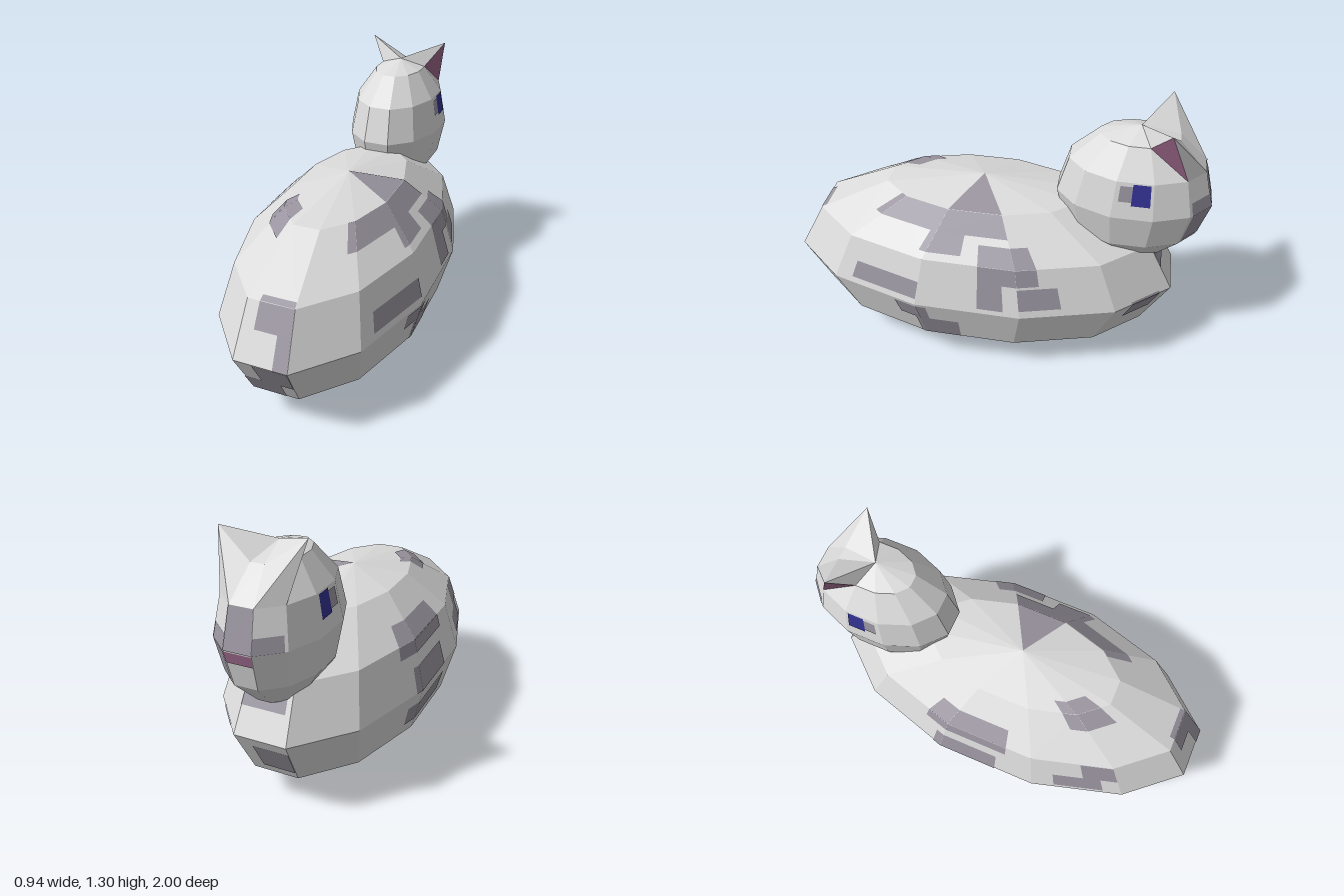
import * as THREE from 'three';

const SIDES = 12;
const RING_SCALE = [0.5, 0.866, 1, 0.866, 0.5, 0];
const RING_Y = [-0.872, -0.5, 0, 0.5, 0.872, 1];

const mat = (name, color) => {
  const m = new THREE.MeshStandardMaterial({ color });
  m.name = name;
  return m;
};

// Faceted egg: u counts the sides (0..1 is the +z panel, growing towards +x), v counts the rings.
const makeEgg = (center, radius, moved = {}) => (u, v) => {
  const k = ((u % SIDES) + SIDES) % SIDES;
  if (moved[k + ',' + v]) return moved[k + ',' + v].clone();
  const a = (k - 0.5) * Math.PI * 2 / SIDES;
  return new THREE.Vector3(
    center.x + radius.x * RING_SCALE[v] * Math.sin(a),
    center.y + radius.y * RING_Y[v],
    center.z + radius.z * RING_SCALE[v] * Math.cos(a));
};

// Unshared corners keep every facet flat.
function trianglesMesh(name, tris, material) {
  const geo = new THREE.BufferGeometry().setFromPoints(tris.flat());
  geo.computeVertexNormals();
  const mesh = new THREE.Mesh(geo, material);
  mesh.name = name;
  return mesh;
}

// Closed skin; triangles for which isInner(k, j, t) holds go to a second list.
function eggSkin(egg, isInner = () => false) {
  const outer = [], inner = [];
  const bottom = egg(0, 0);
  for (let k = 0; k < SIDES; k++) {
    for (let j = 0; j < 5; j++) {
      const a = egg(k, j), b = egg(k + 1, j), c = egg(k + 1, j + 1), d = egg(k, j + 1);
      const tris = j === 4 ? [[a, b, c]]
        : k < 6 ? [[a, b, d], [b, c, d]] : [[a, b, c], [a, c, d]];
      tris.forEach((t, i) => (isInner(k, j, i) ? inner : outer).push(t));
    }
    if (k > 0 && k < SIDES - 1) outer.push([bottom, egg(k + 1, 0), egg(k, 0)]);
  }
  return { outer, inner };
}

// Thin patches [u0, u1, v0, v1] lying on the facets, split where they cross an edge.
function patches(name, egg, rects, material) {
  const tris = [];
  for (const [u0, u1, v0, v1] of rects) {
    for (let k = Math.floor(u0); k < u1; k++) {
      for (let j = Math.floor(v0); j < v1; j++) {
        const a = egg(k, j), b = egg(k + 1, j), c = egg(k + 1, j + 1), d = egg(k, j + 1);
        const n = b.clone().sub(a).cross(d.clone().sub(a)).normalize().multiplyScalar(0.003);
        const at = (u, v) => a.clone().lerp(b, u).lerp(d.clone().lerp(c, u), v).add(n);
        const s = Math.max(u0 - k, 0), e = Math.min(u1 - k, 1);
        const f = Math.max(v0 - j, 0), g = Math.min(v1 - j, 1);
        tris.push([at(s, f), at(e, f), at(e, g)]);
        if (!(j === 4 && g === 1)) tris.push([at(s, f), at(e, g), at(s, g)]);
      }
    }
  }
  return trianglesMesh(name, tris, material);
}

export function createModel() {
  const fur = mat('light grey fur', 0xdcdcdc);
  const spot = mat('grey purple spots', 0x99949f);
  const pink = mat('pink', 0xa06a8e);
  const blue = mat('dark blue', 0x323291);
  const V = (x, y, z) => new THREE.Vector3(x, y, z);

  const model = new THREE.Group();
  model.name = 'loafingCat';

  // Body
  const body = new THREE.Group();
  body.name = 'body';
  const bodyEgg = makeEgg(V(0, 0.41, 0.06), V(0.487, 0.47, 0.973));
  body.add(trianglesMesh('bodyFur', eggSkin(bodyEgg).outer, fur));

  // Coat markings
  body.add(patches('leftFlankSpots', bodyEgg, [
    [2.2, 3, 2.13, 2.51], [3, 4, 4, 5], [1.8, 4, 3.55, 4], [2.9, 3.4, 3.15, 3.55],
    [3.6, 3.85, 2.1, 2.65], [3.6, 4.25, 2.65, 3.4], [4, 4.45, 2.15, 2.6],
    [2.75, 3.1, 1.55, 1.95], [2.95, 3.4, 1.02, 1.55], [5.3, 5.8, 1.6, 2.05],
  ], spot));
  body.add(patches('rightFlankSpots', bodyEgg, [
    [-1.75, -1.2, 2.1, 2.5], [-1.4, -1, 2.5, 3], [-1.75, -1.1, 1.4, 1.9],
    [-1.3, -0.3, 3.7, 4.2], [-3.3, -2.3, 2.75, 3.4], [-3.1, -2.4, 2, 2.5], [-3.2, -2.3, 1.25, 1.7],
  ], spot));
  body.add(patches('rumpAndChestSpots', bodyEgg, [
    [0.27, 1, 2.55, 3.08], [0.73, 1, 2, 2.55], [0.35, 1, 1.45, 2], [0, 0.75, 1.02, 1.45],
    [0.1, 0.5, 0.63, 0.92], [6, 6.9, 2.5, 3], [6.3, 7, 1.2, 1.8],
  ], spot));
  body.add(patches('undersideSpots', bodyEgg, [-1, 1, 5].map((u) => [u + 0.1, u + 0.9, 0, 0.35]), spot));
  model.add(body);

  // Head, with two corners of the upper ring pulled out as ear tips
  const head = new THREE.Group();
  head.name = 'head';
  const headEgg = makeEgg(V(0, 0.88, -0.647), V(0.243, 0.35, 0.365), {
    '5,4': V(0.2, 1.3, -0.776),
    '8,4': V(-0.2, 1.3, -0.776),
  });
  const skin = eggSkin(headEgg, (k, j, t) => j === 3 && t === (k === 4 ? 1 : 0) && (k === 4 || k === 8));
  // On the mirrored side the inner-ear facet is the one holding both the tip and the upper corner.
  const rightInner = eggSkin(headEgg, (k, j, t) => j === 3 && k === 8 && t === 1);
  head.add(trianglesMesh('headFurAndEars', [
    ...skin.outer.filter((t) => !rightInner.inner.some((r) => r.every((p, i) => p.equals(t[i])))),
    ...skin.inner.slice(1),
  ], fur));
  head.add(trianglesMesh('innerEars', [skin.inner[0], ...rightInner.inner], pink));

  // Face
  const mirror = ([a, b, c, d]) => [1 - b, 1 - a, c, d];
  const eye = [3.45, 3.92, 2.38, 2.97], eyeCorner = [3.12, 3.45, 2.47, 2.9];
  head.add(patches('eyes', headEgg, [eye, mirror(eye)], blue));
  head.add(patches('faceSpots', headEgg, [
    eyeCorner, mirror(eyeCorner),
    [6, 7, 2, 3], [5.1, 6, 1.1, 2.37], [7, 7.9, 2, 2.37],
  ], spot));
  head.add(patches('nose', headEgg, [[6, 7, 1.68, 1.98]], pink));
  model.add(head);

  return model;
}
